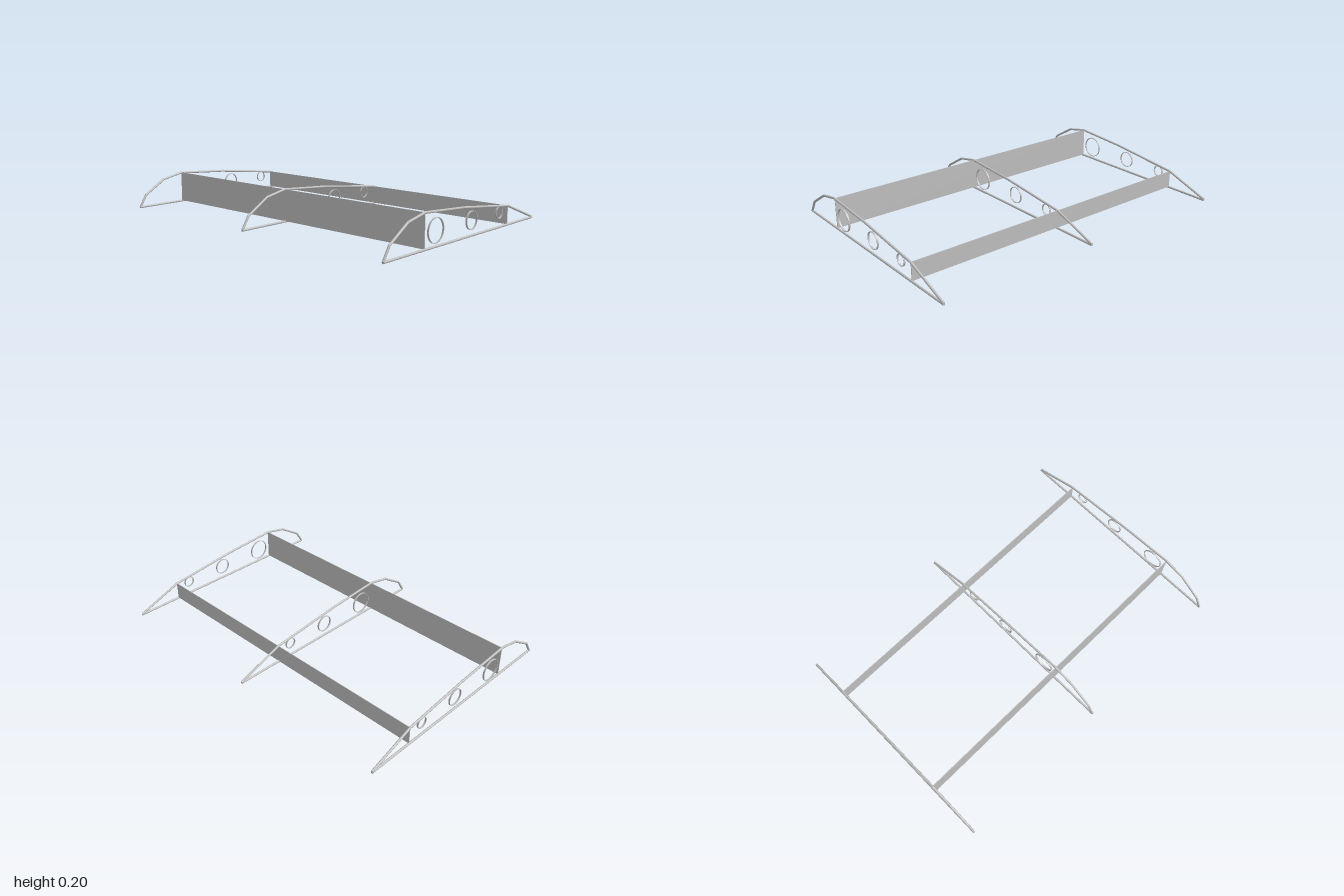
import * as THREE from 'three';

export function createModel() {
  const group = new THREE.Group();
  group.name = 'wingFrame';
  const metal = new THREE.MeshStandardMaterial({ color: 0xc0c0c0 });
  metal.name = 'light grey metal';

  const R = 0.007; // rod radius
  // rib outline as [z, y] from the leading edge over the top to the trailing edge
  const profile = [
    [0.705, 0.012], [0.662, 0.082], [0.521, 0.169], [0.383, 0.197],
    [0.035, 0.172], [-0.423, 0.118], [-0.705, 0.014],
  ];
  // lightening hole rims as [z, y, radius]
  const holes = [[0.287, 0.092, 0.067], [-0.044, 0.092, 0.051], [-0.328, 0.092, 0.034]];

  const add = (parent, geometry, name) => {
    const mesh = new THREE.Mesh(geometry, metal);
    mesh.name = name;
    parent.add(mesh);
    return mesh;
  };

  // round rod between two [z, y] points
  function rod(parent, a, b, name) {
    const from = new THREE.Vector3(0, a[1], a[0]);
    const to = new THREE.Vector3(0, b[1], b[0]);
    const dir = to.clone().sub(from);
    const mesh = add(parent, new THREE.CylinderGeometry(R, R, dir.length() + 0.004, 12), name);
    mesh.position.copy(from).add(to).multiplyScalar(0.5);
    mesh.quaternion.setFromUnitVectors(new THREE.Vector3(0, 1, 0), dir.normalize());
  }

  // thin rim around a lightening hole
  function rim(parent, [z, y, r]) {
    const shape = new THREE.Shape().absarc(0, 0, r + 0.001, 0, Math.PI * 2);
    shape.holes.push(new THREE.Path().absarc(0, 0, r - 0.002, 0, Math.PI * 2, true));
    const geometry = new THREE.ExtrudeGeometry(shape, { depth: 0.01, bevelEnabled: false, curveSegments: 32 });
    geometry.translate(0, 0, -0.005).rotateY(Math.PI / 2);
    add(parent, geometry, 'holeRim').position.set(0, y, z);
  }

  // three identical ribs
  for (const x of [-0.993, 0, 0.993]) {
    const rib = new THREE.Group();
    rib.name = 'rib';
    rib.position.x = x;
    for (let i = 0; i < profile.length - 1; i++) rod(rib, profile[i], profile[i + 1], 'upperCap');
    rod(rib, [0.707, R + 0.001], [-0.707, R + 0.001], 'lowerCap');
    holes.forEach((hole) => rim(rib, hole));
    group.add(rib);
  }

  // spars spanning all ribs: name, z, top height
  for (const [name, z, top] of [['frontSpar', 0.38, 0.198], ['rearSpar', -0.423, 0.119]]) {
    const bottom = 0.01;
    add(group, new THREE.BoxGeometry(1.986, top - bottom, 0.004), name).position.set(0, (top + bottom) / 2, z);
  }
  return group;
}
